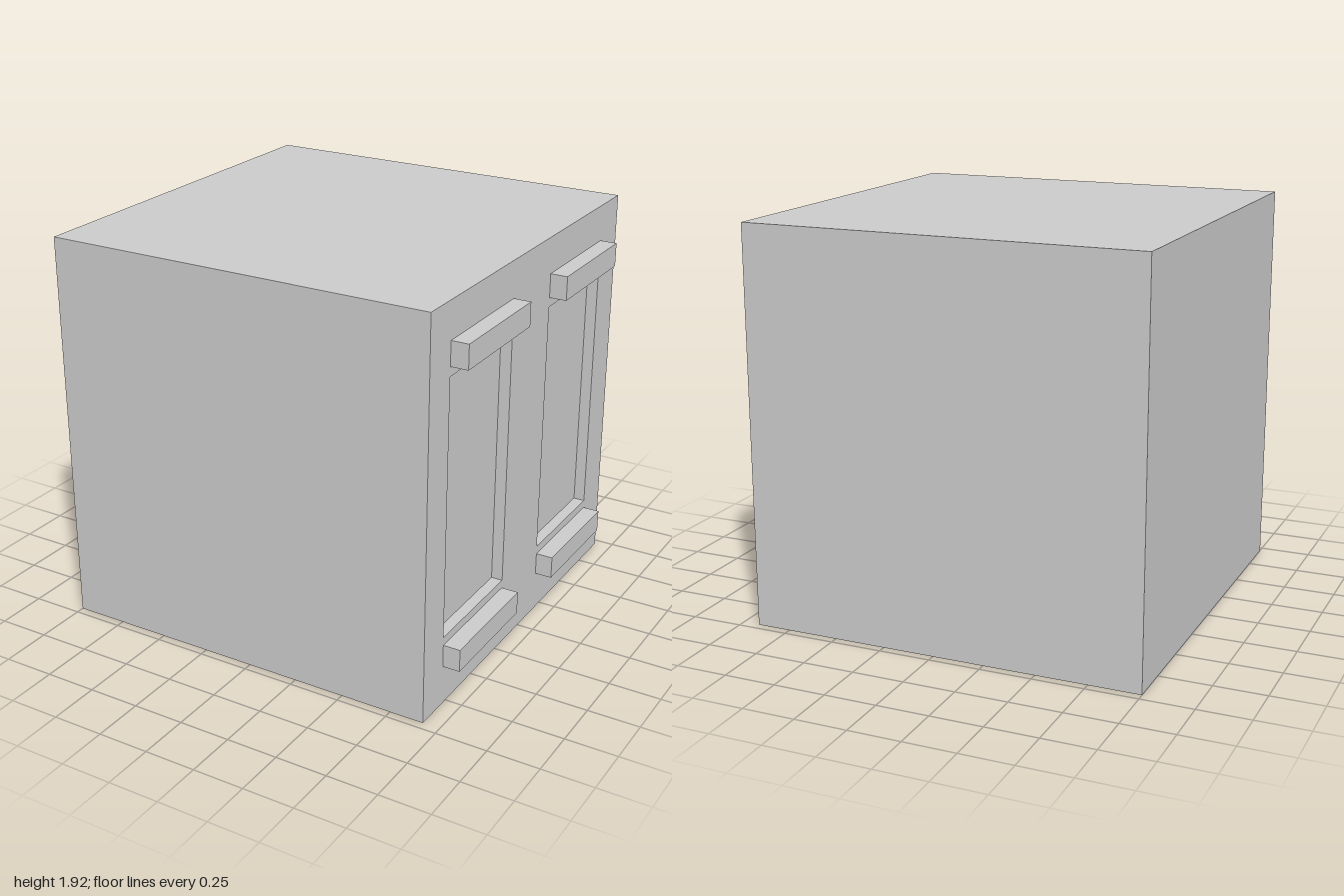
import * as THREE from 'three';

const RIGHT = 0.917;   // x of the panelled wall
const HEIGHT = 1.92;
const HALF_DEPTH = 0.96;
const RECESS = 0.055;  // depth of the sunken panels
const PANEL_Y = [0.343, 1.583];
const BAR_ROWS = [[0.193, 0.303], [1.628, 1.743]];
const COLUMNS = [
  { side: 'front', z: [0.195, 0.782] },
  { side: 'back', z: [-0.766, -0.19] },
];

const material = new THREE.MeshStandardMaterial({ color: 0xcccccc, flatShading: true });

// Box given by its limits along each axis
function boxBetween([x0, x1], [y0, y1], [z0, z1]) {
  return new THREE.BoxGeometry(x1 - x0, y1 - y0, z1 - z0)
    .translate((x0 + x1) / 2, (y0 + y1) / 2, (z0 + z1) / 2);
}

// Drop the +x side of a box; optionally turn it inside out
function openRight(geometry, inward = false) {
  const index = Array.from(geometry.index.array).slice(6);
  if (inward) {
    index.reverse();
    geometry.attributes.normal.array.forEach((n, i, a) => { a[i] = -n; });
  }
  geometry.setIndex(index);
  geometry.clearGroups();
  return geometry;
}

// Rectangle on the right wall, drawn with -z as its horizontal axis
function rectangle(Type, [z0, z1], [y0, y1]) {
  return new Type([
    new THREE.Vector2(-z1, y0), new THREE.Vector2(-z0, y0),
    new THREE.Vector2(-z0, y1), new THREE.Vector2(-z1, y1),
  ]);
}

export function createModel() {
  const group = new THREE.Group();
  group.name = 'panelledBlock';
  const add = (name, geometry) => {
    const mesh = new THREE.Mesh(geometry, material);
    mesh.name = name;
    group.add(mesh);
  };

  // Block without its right wall
  const depth = [-HALF_DEPTH, HALF_DEPTH];
  add('body', openRight(boxBetween([-1, RIGHT], [0, HEIGHT], depth)));

  // Right wall with an opening for each panel
  const wall = rectangle(THREE.Shape, depth, [0, HEIGHT]);
  wall.holes = COLUMNS.map(({ z }) => rectangle(THREE.Path, z, PANEL_Y));
  add('rightWall', new THREE.ShapeGeometry(wall).rotateY(Math.PI / 2).translate(RIGHT, 0, 0));

  // Sunken panels, each with a raised bar below and above
  for (const { side, z } of COLUMNS) {
    add(`${side}RecessedPanel`, openRight(boxBetween([RIGHT - RECESS, RIGHT], PANEL_Y, z), true));
    BAR_ROWS.forEach((y, i) => add(`${side}${i ? 'Upper' : 'Lower'}Bar`, boxBetween([RIGHT, 1], y, z)));
  }
  return group;
}
